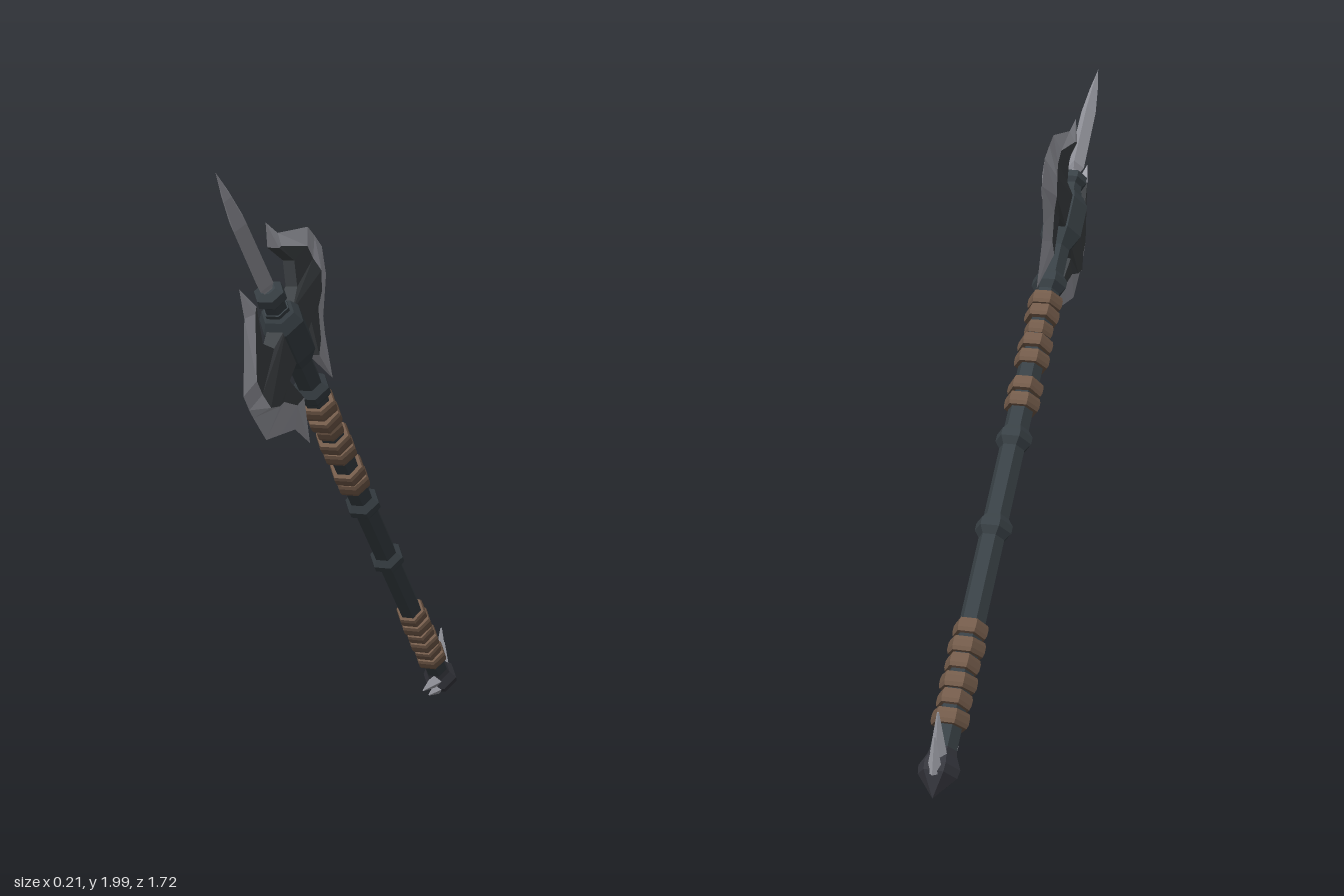
import * as THREE from 'three';

const mat = (name, color) => {
  const m = new THREE.MeshStandardMaterial({ color, flatShading: true, side: THREE.DoubleSide });
  m.name = name;
  return m;
};

export function createModel() {
  const iron = mat('dark iron', 0x394146);
  const body = mat('blade iron', 0x3f4346);
  const steel = mat('bright steel', 0x9c9da5);
  const leather = mat('brown leather', 0x735b4a);
  const capIron = mat('pommel iron', 0x36373e);

  // Everything is built along +y from the pommel tip, blades in the yz plane
  const axe = new THREE.Group();
  axe.name = 'battleAxe';
  const add = (geo, m, name, parent = axe) => {
    const mesh = new THREE.Mesh(geo, m);
    mesh.name = name;
    parent.add(mesh);
    return mesh;
  };
  // Six-sided turned part from [radius, height] pairs, with a corner on the x axis
  const turned = (profile, sides = 6) =>
    new THREE.LatheGeometry(profile.map(([r, y]) => new THREE.Vector2(r, y)), sides, Math.PI / 2);

  // Shaft and its collars
  add(turned([[0, 0.1], [0.04, 0.1], [0.04, 2.1], [0, 2.1]]), iron, 'shaft');
  for (const y of [0.847, 1.155, 1.734]) {
    add(turned([[0.04, y - 0.035], [0.057, y - 0.012], [0.057, y + 0.012], [0.04, y + 0.035]]), iron, 'collar');
  }

  // Head socket holding the blades, and the neck below the spear
  add(turned([[0.04, 1.87], [0.05, 1.89], [0.068, 1.925], [0.068, 2.045], [0.05, 2.08], [0.038, 2.09]]), iron, 'headSocket');
  add(turned([[0.036, 2.08], [0.034, 2.125], [0.048, 2.14], [0.045, 2.165], [0.024, 2.18], [0, 2.18]]), iron, 'spearCollar');

  // Spear point with a diamond section
  const spear = add(turned([[0, 2.165], [0.022, 2.165], [0.024, 2.185], [0.038, 2.205], [0.035, 2.44], [0.02, 2.54], [0, 2.63]], 4), steel, 'spearPoint');
  spear.scale.x = 0.72;

  // Leather wraps on both grips
  const wrap = (y, r, i) => {
    const ring = add(turned([[0.036, -0.024], [r - 0.004, -0.022], [r, -0.01], [r, 0.01], [r - 0.004, 0.022], [0.036, 0.024]]), leather, 'leatherWrap');
    ring.position.y = y;
    ring.rotation.x = i % 2 ? 0.08 : -0.06;
  };
  [1.66, 1.605, 1.552, 1.495, 1.44, 1.335, 1.282].forEach((y, i) => wrap(y, i === 2 ? 0.047 : 0.057, i));
  for (let i = 0; i < 6; i++) wrap(0.235 + i * 0.055, i % 2 ? 0.053 : 0.057, i);

  // Blade stations from top horn to bottom horn: [cutting edge, bevel line, back edge], each [along, out]
  const tipTop = [0.327, 0.123], tipLow = [-0.353, 0.124];
  const bevel = [tipTop, [0.23, 0.125], [0.095, 0.25], [0.04, 0.253], [-0.015, 0.256], [-0.06, 0.215], [-0.09, 0.176], [-0.17, 0.125], tipLow];
  const back = [tipTop, [0.241, 0.108], [0.139, 0.154], [0.072, 0.115], [0.068, 0.03], [-0.06, 0.03], [-0.07, 0.113], [-0.19, 0.08], tipLow];
  const edges = {
    front: [tipTop, [0.248, 0.158], [0.105, 0.314], [0.05, 0.318], [0.014, 0.317], [-0.097, 0.308], [-0.165, 0.237], [-0.237, 0.162], tipLow],
    back: [tipTop, [0.248, 0.158], [0.105, 0.316], [0.05, 0.333], [-0.012, 0.348], [-0.094, 0.311], [-0.165, 0.208], [-0.211, 0.181], tipLow],
  };
  const last = bevel.length - 1;
  const blade = (edge, side, name) => {
    const group = new THREE.Group();
    group.name = name;
    const steelPos = [], bodyPos = [];
    // Half thickness: thin at the horns, thick where the blade meets the socket
    const half = i => (i === 0 || i === last ? 0 : i === 4 || i === 5 ? 0.028 : 0.018);
    const pt = (p, x) => [x, p[0], p[1] * side];
    const quad = (out, a, b, c, d, flip) => {
      const q = flip ? [a, c, b, a, d, c] : [a, b, c, a, c, d];
      q.forEach(v => out.push(...v));
    };
    for (let i = 0; i < last; i++) {
      const j = i + 1, h = half(i), k = half(j);
      const inner = i === 0 || j === last ? steelPos : bodyPos;
      for (const f of [1, -1]) {
        const flip = f * side < 0;
        quad(steelPos, pt(edge[i], 0), pt(bevel[i], f * h * 0.9), pt(bevel[j], f * k * 0.9), pt(edge[j], 0), !flip);
        quad(inner, pt(bevel[i], f * h * 0.9), pt(back[i], f * h), pt(back[j], f * k), pt(bevel[j], f * k * 0.9), !flip);
      }
      quad(inner, pt(back[i], h), pt(back[i], -h), pt(back[j], -k), pt(back[j], k), side > 0);
    }
    for (const [pos, m, part] of [[steelPos, steel, 'cuttingEdge'], [bodyPos, body, 'bladeBody']]) {
      const geo = new THREE.BufferGeometry();
      geo.setAttribute('position', new THREE.Float32BufferAttribute(pos, 3));
      geo.computeVertexNormals();
      add(geo, m, part, group);
    }
    group.position.y = 1.986;
    axe.add(group);
  };
  blade(edges.front, 1, 'frontBlade');
  blade(edges.back, -1, 'backBlade');

  // Pointed pommel
  add(turned([[0, 0], [0.058, 0.065], [0.062, 0.09], [0.045, 0.125], [0.036, 0.16]]), capIron, 'pommel');

  // Steel claws sweeping up from the pommel, two on each side
  for (const side of [1, -1]) {
    for (const [y0, z0, y1, z1, r] of [[0.1, 0.02, 0.205, 0.13, 0.03], [0.065, 0.035, 0.14, 0.11, 0.024]]) {
      const from = new THREE.Vector3(0, y0, z0 * side);
      const dir = new THREE.Vector3(0, y1, z1 * side).sub(from);
      const claw = add(new THREE.CylinderGeometry(0.003, r, dir.length(), 4), steel, 'pommelClaw');
      claw.position.copy(from).addScaledVector(dir, 0.5);
      claw.quaternion.setFromUnitVectors(new THREE.Vector3(0, 1, 0), dir.normalize());
    }
  }

  // Lean the weapon along its diagonal
  const base = new THREE.Vector3(0.042, 0.002, -0.86);
  const up = new THREE.Vector3(-0.06, 2, 0.86).sub(base).normalize();
  const out = new THREE.Vector3(0, -up.z, up.y).normalize();
  const across = new THREE.Vector3().crossVectors(up, out);
  axe.quaternion.setFromRotationMatrix(new THREE.Matrix4().makeBasis(across, up, out));
  axe.position.copy(base);

  const model = new THREE.Group();
  model.name = 'model';
  model.add(axe);
  return model;
}
